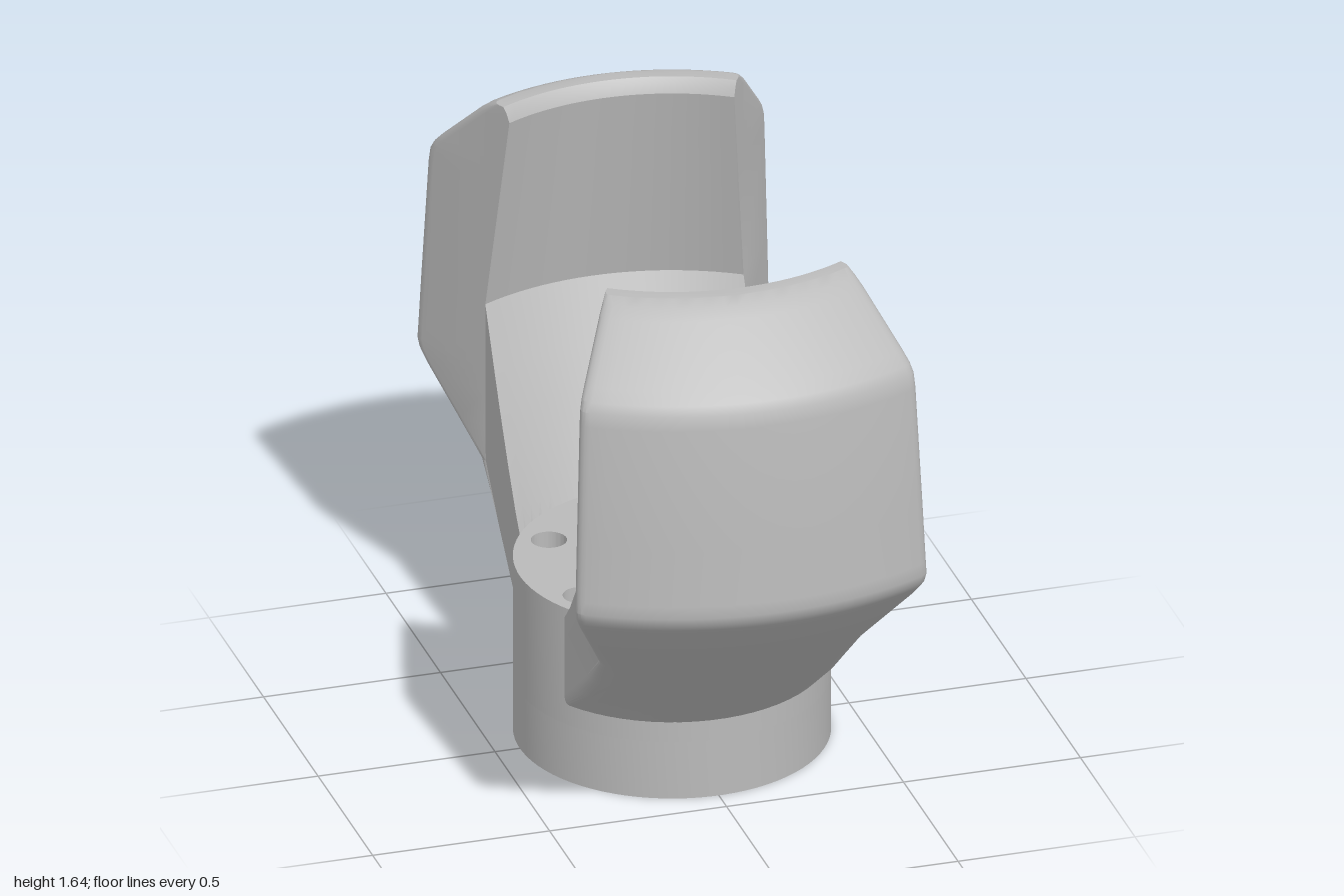
import * as THREE from 'three';
import { toCreasedNormals } from 'three/addons/utils/BufferGeometryUtils.js';

const HUB_R = 0.43, HUB_H = 0.52, BORE_R = 0.23, BORE_FLOOR = 0.17;
const SECTOR = Math.PI / 6;      // half angle of a claw
const KINK_R = 0.72;             // radius where the straight arm flares into the claw
const ARM_W = KINK_R * Math.sin(SECTOR);
const INNER_TOP = 1.02;          // height where the inner cone meets the claw face
const FILLET = 0.035;

// Disc with six bolt holes and an optional centre bore
function hubPart(y0, y1, bore) {
  const shape = new THREE.Shape().absarc(0, 0, HUB_R, 0, Math.PI * 2);
  const hole = (x, y, r) => shape.holes.push(new THREE.Path().absarc(x, y, r, 0, Math.PI * 2, true));
  for (let i = 0; i < 6; i++) {
    const a = Math.PI / 2 + i * Math.PI / 3;
    hole(0.345 * Math.cos(a), 0.345 * Math.sin(a), 0.049);
  }
  if (bore) hole(0, 0, BORE_R);
  const g = new THREE.ExtrudeGeometry(shape, { depth: y1 - y0, bevelEnabled: false, curveSegments: 40 });
  g.rotateX(-Math.PI / 2).translate(0, y0, 0);
  return toCreasedNormals(g, 0.9);
}

// Outer profile of an arm: height, radius
const OUTER = [
  [0.23, 0.43], [0.33, 0.53], [0.43, 0.63], [0.55, 0.75], [0.65, 0.85], [0.755, 0.955],
  [0.78, 0.977], [0.80, 0.992], [0.825, 1.0], [0.86, 0.997], [1.02, 0.985], [1.37, 0.957],
  [1.41, 0.95], [1.435, 0.935], [1.465, 0.905], [1.6, 0.755], [1.625, 0.722], [1.64, 0.69],
];

function innerRadius(y) {
  if (y < 0.43) return 0.4;
  if (y <= INNER_TOP) return 0.4 + (y - 0.43) / (INNER_TOP - 0.43) * (KINK_R - 0.4);
  return KINK_R - (y - INNER_TOP) * 0.16 + Math.max(0, y - 1.61) * 1.0;
}

// Horizontal section of the arm: inner arc, side, rounded corner, outer arc and back
function section(y, R) {
  const low = y <= INNER_TOP, ri = innerRadius(y);
  const angle = r => (low && r < KINK_R ? Math.asin(ARM_W / r) : SECTOR);
  const at = (r, a) => new THREE.Vector2(r * Math.sin(a), r * Math.cos(a));
  const pts = [];
  const N = 20;
  for (let i = 0; i <= N; i++) pts.push(at(ri, angle(ri) * (2 * i / N - 1)));

  const f = Math.min(FILLET, (R - ri) * 0.6);
  const start = at(R - f, angle(R - f));
  const kinkR = Math.max(ri + 0.002, Math.min(KINK_R, R - f - 0.002));
  const endA = angle(R) - f / R;
  const corner = new THREE.QuadraticBezierCurve(start, at(R, angle(R)), at(R, endA)).getPoints(5);
  const side = [at(kinkR, angle(kinkR)), ...corner];
  pts.push(...side);
  for (let i = 1; i < N; i++) pts.push(at(R, endA * (1 - 2 * i / N)));
  for (const p of side.reverse()) pts.push(new THREE.Vector2(-p.x, p.y));
  return pts;
}

// Skin the sections and close the top
function armGeometry() {
  const rings = OUTER.map(([y, R]) => section(y, R));
  const M = rings[0].length, pos = [], index = [];
  rings.forEach((ring, i) => ring.forEach(p => pos.push(p.x, OUTER[i][0], p.y)));
  for (let i = 0; i < rings.length - 1; i++) {
    for (let j = 0; j < M; j++) {
      const a = i * M + j, b = i * M + (j + 1) % M;
      index.push(a, a + M, b, b, a + M, b + M);
    }
  }
  const top = rings[rings.length - 1], base = (rings.length - 1) * M;
  for (const [a, b, c] of THREE.ShapeUtils.triangulateShape(top, [])) {
    const u = top[b].clone().sub(top[a]), v = top[c].clone().sub(top[a]);
    if (u.cross(v) < 0) index.push(base + a, base + b, base + c);
    else index.push(base + a, base + c, base + b);
  }
  const g = new THREE.BufferGeometry();
  g.setAttribute('position', new THREE.Float32BufferAttribute(pos, 3));
  g.setIndex(index);
  return toCreasedNormals(g, 0.45);
}

export function createModel() {
  const metal = new THREE.MeshStandardMaterial({ color: 0xbababa });
  metal.name = 'plain grey metal';
  const model = new THREE.Group();
  model.name = 'twoClawCoupling';
  const add = (geometry, name) => {
    const mesh = new THREE.Mesh(geometry, metal);
    mesh.name = name;
    model.add(mesh);
    return mesh;
  };

  add(hubPart(0, BORE_FLOOR, false), 'hubBase');
  add(hubPart(BORE_FLOOR, HUB_H, true), 'hubCollar');

  const arm = armGeometry();
  add(arm, 'frontClaw');
  add(arm, 'backClaw').rotation.y = Math.PI;

  // The whole part sits turned slightly about its axis
  model.rotation.y = -2.7 * Math.PI / 180;
  return model;
}
